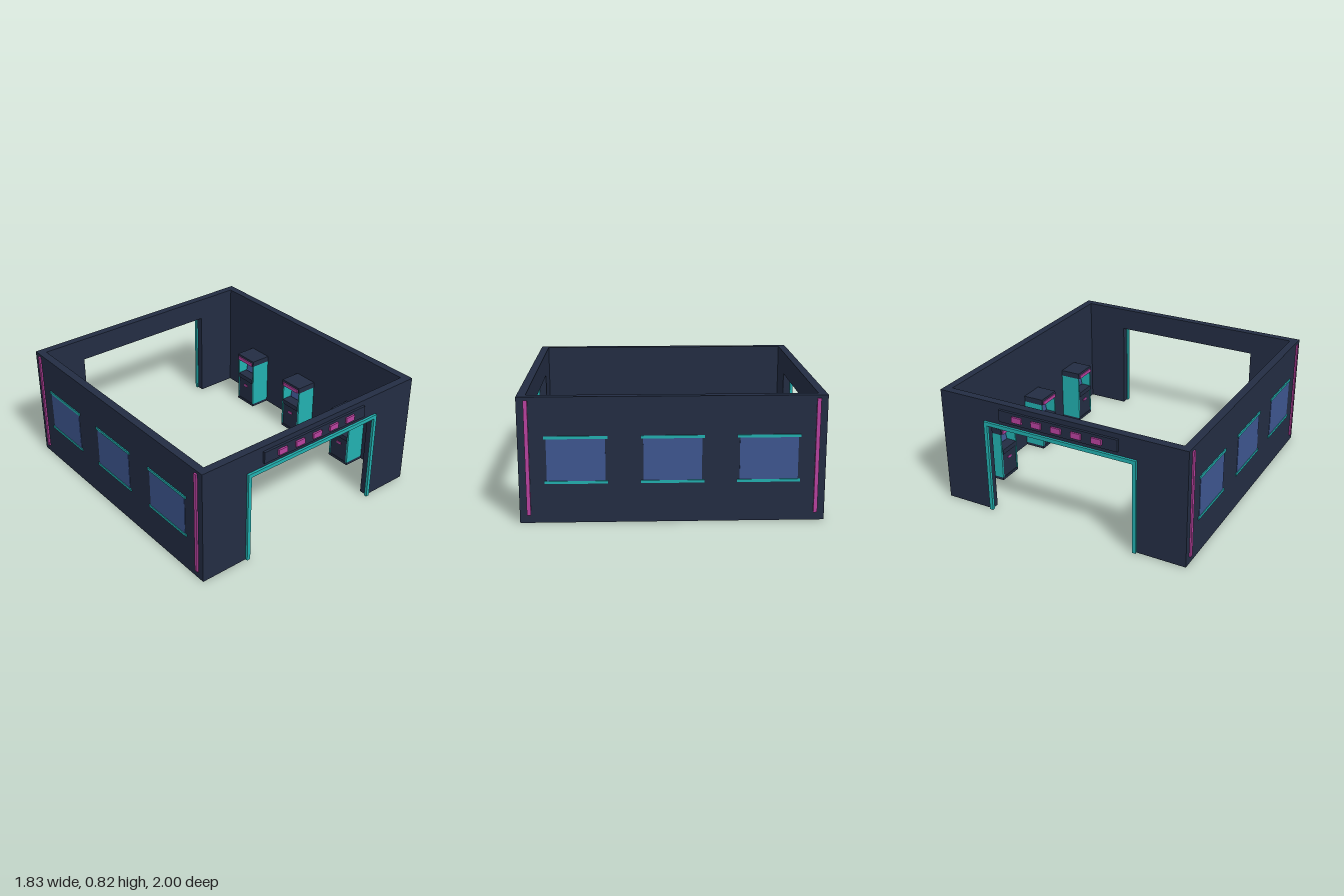
import * as THREE from 'three';

const mat = (name, color) => {
  const m = new THREE.MeshStandardMaterial({ color });
  m.name = name;
  return m;
};

export function createModel() {
  const navy = mat('navy', 0x232d43);
  const teal = mat('teal', 0x22b0b0);
  const pink = mat('pink', 0xb8429f);
  const blue = mat('glassBlue', 0x3e5690);

  const W = 0.905, D = 0.97, H = 0.82, T = 0.055;

  // Box given by its minimum and maximum corners
  const box = (parent, name, material, x0, x1, y0, y1, z0, z1) => {
    const mesh = new THREE.Mesh(new THREE.BoxGeometry(x1 - x0, y1 - y0, z1 - z0), material);
    mesh.position.set((x0 + x1) / 2, (y0 + y1) / 2, (z0 + z1) / 2);
    mesh.name = name;
    parent.add(mesh);
    return mesh;
  };

  // End wall with a wide doorway, door trim and a sign with five lamps
  const endWall = (name) => {
    const g = new THREE.Group();
    g.name = name;
    const outline = [[-W, 0], [-0.548, 0], [-0.548, 0.658], [0.548, 0.658], [0.548, 0], [W, 0], [W, H], [-W, H]];
    const shape = new THREE.Shape(outline.map(([x, y]) => new THREE.Vector2(x, y)));
    const wall = new THREE.Mesh(new THREE.ExtrudeGeometry(shape, { depth: T, bevelEnabled: false }), navy);
    wall.position.z = D - T;
    wall.name = 'doorwayWall';
    g.add(wall);
    for (const s of [-1, 1]) {
      const x = s * 0.5475;
      box(g, 'doorTrimPost', teal, x - 0.0125, x + 0.0125, 0, 0.645, D - 0.004, 0.987);
    }
    box(g, 'doorTrimLintel', teal, -0.56, 0.56, 0.645, 0.672, D - 0.004, 0.987);
    box(g, 'signBoard', navy, -0.435, 0.435, 0.702, 0.785, D, 0.987);
    for (let i = -2; i <= 2; i++) {
      const x = i * 0.146;
      box(g, 'signLamp', pink, x - 0.036, x + 0.036, 0.725, 0.765, 0.987, 1);
    }
    return g;
  };

  // Arcade cabinet: back at x = 0, front towards +x
  const cabinet = () => {
    const g = new THREE.Group();
    g.name = 'arcadeCabinet';
    const w = 0.0925, side = 0.012, inner = w - side;
    box(g, 'cabinetBase', navy, 0, 0.15, 0, 0.02, -w, w);
    box(g, 'lowerBody', navy, 0, 0.146, 0.02, 0.205, -inner, inner);
    box(g, 'controlDeck', navy, 0, 0.155, 0.205, 0.24, -inner, inner);
    box(g, 'upperBack', navy, 0, 0.05, 0.24, 0.367, -inner, inner);
    const screen = box(g, 'screen', blue, 0.068, 0.076, 0.247, 0.362, -0.066, 0.066);
    screen.rotation.z = 0.2;
    for (const s of [-1, 1]) {
      const z = s * (w - side / 2);
      box(g, 'sidePanel', teal, 0, 0.15, 0.02, 0.367, z - side / 2, z + side / 2);
    }
    box(g, 'cabinetTop', navy, 0, 0.154, 0.367, 0.41, -w, w);
    box(g, 'marqueeLight', pink, 0.154, 0.163, 0.367, 0.392, -0.08, 0.08);
    box(g, 'coinSlot', pink, 0.146, 0.151, 0.145, 0.16, -0.02, 0.02);
    return g;
  };

  // Long wall with three windows, corner light strips and a row of cabinets
  const sideWall = (name) => {
    const g = new THREE.Group();
    g.name = name;
    box(g, 'longWall', navy, W - T, W, 0, H, T - D, D - T);
    for (const s of [-1, 1]) {
      box(g, 'lightStrip', pink, W, 0.916, 0.052, 0.8, s * 0.912 - 0.0125, s * 0.912 + 0.0125);
    }
    for (const z of [-0.608, 0, 0.608]) {
      box(g, 'windowPane', blue, W, W + 0.003, 0.272, 0.555, z - 0.185, z + 0.185);
      for (const y of [0.268, 0.56]) {
        box(g, 'windowBar', teal, W, W + 0.007, y - 0.009, y + 0.009, z - 0.2, z + 0.2);
      }
    }
    for (const z of [-0.533, 0, 0.533]) {
      const c = cabinet();
      c.rotation.y = Math.PI;
      c.position.set(W - T, 0, z);
      g.add(c);
    }
    return g;
  };

  // Opposite walls are half-turn copies
  const model = new THREE.Group();
  model.name = 'arcadeRoom';
  const back = endWall('backWall');
  const right = sideWall('rightWall');
  back.rotation.y = right.rotation.y = Math.PI;
  model.add(endWall('frontWall'), back, sideWall('leftWall'), right);
  return model;
}
